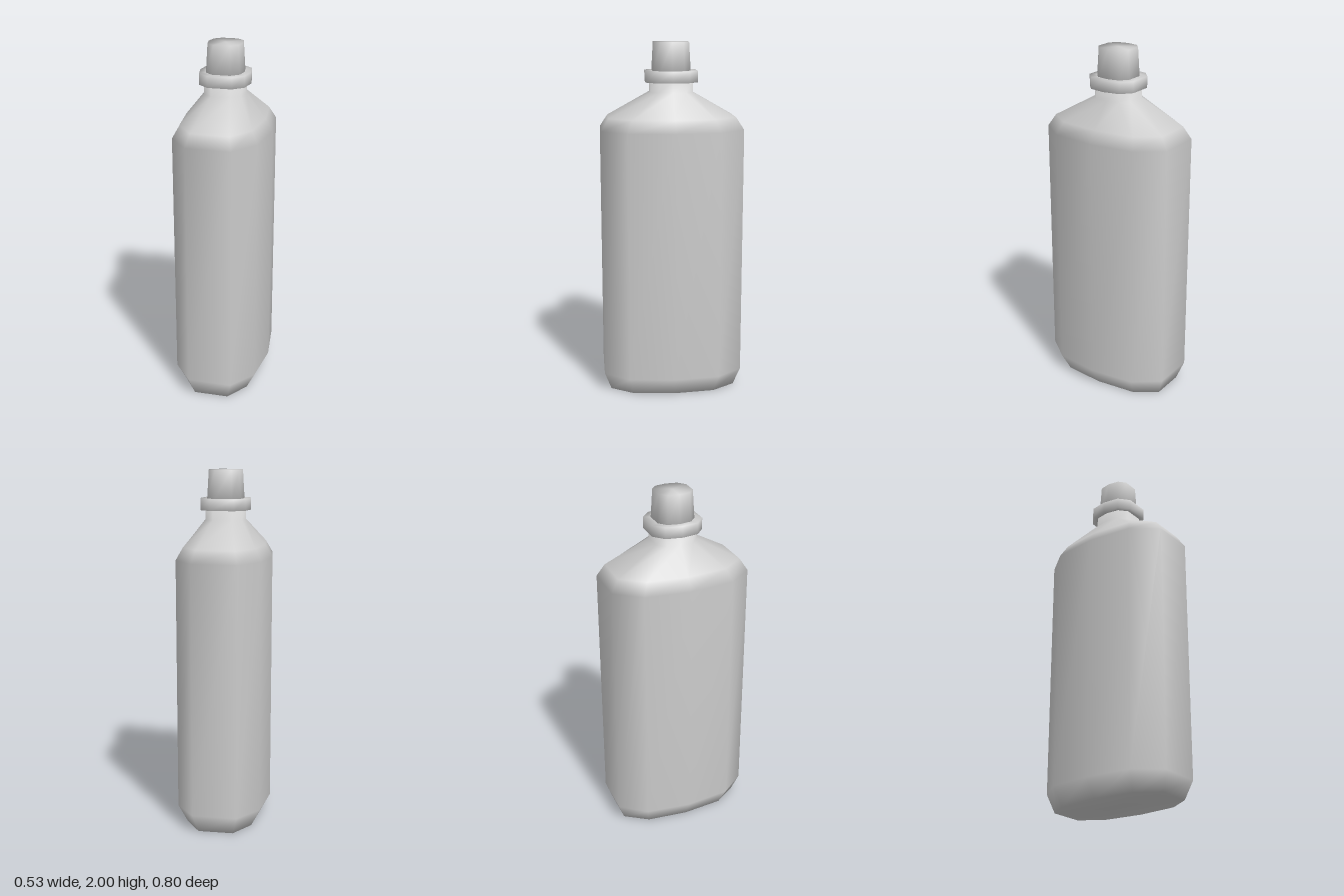
import * as THREE from 'three';

// One quarter of the ten-sided section, as fractions of half width and half depth
const QUARTER = [[1, 0], [0.887, 0.643], [0.47, 1]];
const SECTION = [
  ...QUARTER,
  ...QUARTER.slice(1).reverse().map(([x, z]) => [-x, z]),
  [-1, 0],
  ...QUARTER.slice(1).map(([x, z]) => [-x, -z]),
  ...QUARTER.slice(1).reverse().map(([x, z]) => [x, -z]),
];

// Closed smooth skin through rings of [y, half width, half depth], bottom to top
function loft(name, rings, material) {
  const n = SECTION.length, pos = [], idx = [];
  for (const [y, hx, hz] of rings) {
    for (const [x, z] of SECTION) pos.push(x * hx, y, z * hz);
  }
  for (let r = 0; r < rings.length - 1; r++) {
    for (let i = 0; i < n; i++) {
      const j = (i + 1) % n;
      const a = r * n + i, b = r * n + j, c = a + n, d = b + n;
      idx.push(a, c, b, b, c, d);
    }
  }
  // End faces as fans around a centre point
  const bottom = pos.length / 3, top = bottom + 1, last = (rings.length - 1) * n;
  pos.push(0, rings[0][0], 0, 0, rings[rings.length - 1][0], 0);
  for (let i = 0; i < n; i++) {
    const j = (i + 1) % n;
    idx.push(bottom, i, j, top, last + j, last + i);
  }
  const geometry = new THREE.BufferGeometry();
  geometry.setAttribute('position', new THREE.Float32BufferAttribute(pos, 3));
  geometry.setIndex(idx);
  geometry.computeVertexNormals();
  const mesh = new THREE.Mesh(geometry, material);
  mesh.name = name;
  return mesh;
}

export function createModel() {
  const group = new THREE.Group();
  group.name = 'bottle';
  const grey = new THREE.MeshStandardMaterial({ color: 0xcccccc });

  // Flat oblong body with bevelled base, sloping shoulders and short neck
  group.add(loft('body', [
    [0, 0.208, 0.36],
    [0.105, 0.265, 0.398],
    [1.52, 0.265, 0.398],
    [1.588, 0.225, 0.355],
    [1.725, 0.115, 0.118],
    [1.79, 0.115, 0.118],
  ], grey));

  // Ring below the cap
  group.add(loft('collar', [
    [1.78, 0.115, 0.118],
    [1.78, 0.142, 0.144],
    [1.843, 0.142, 0.144],
    [1.843, 0.1, 0.1],
  ], grey));

  // Tapered cap
  group.add(loft('cap', [
    [1.835, 0.106, 0.106],
    [2, 0.096, 0.097],
  ], grey));

  return group;
}
